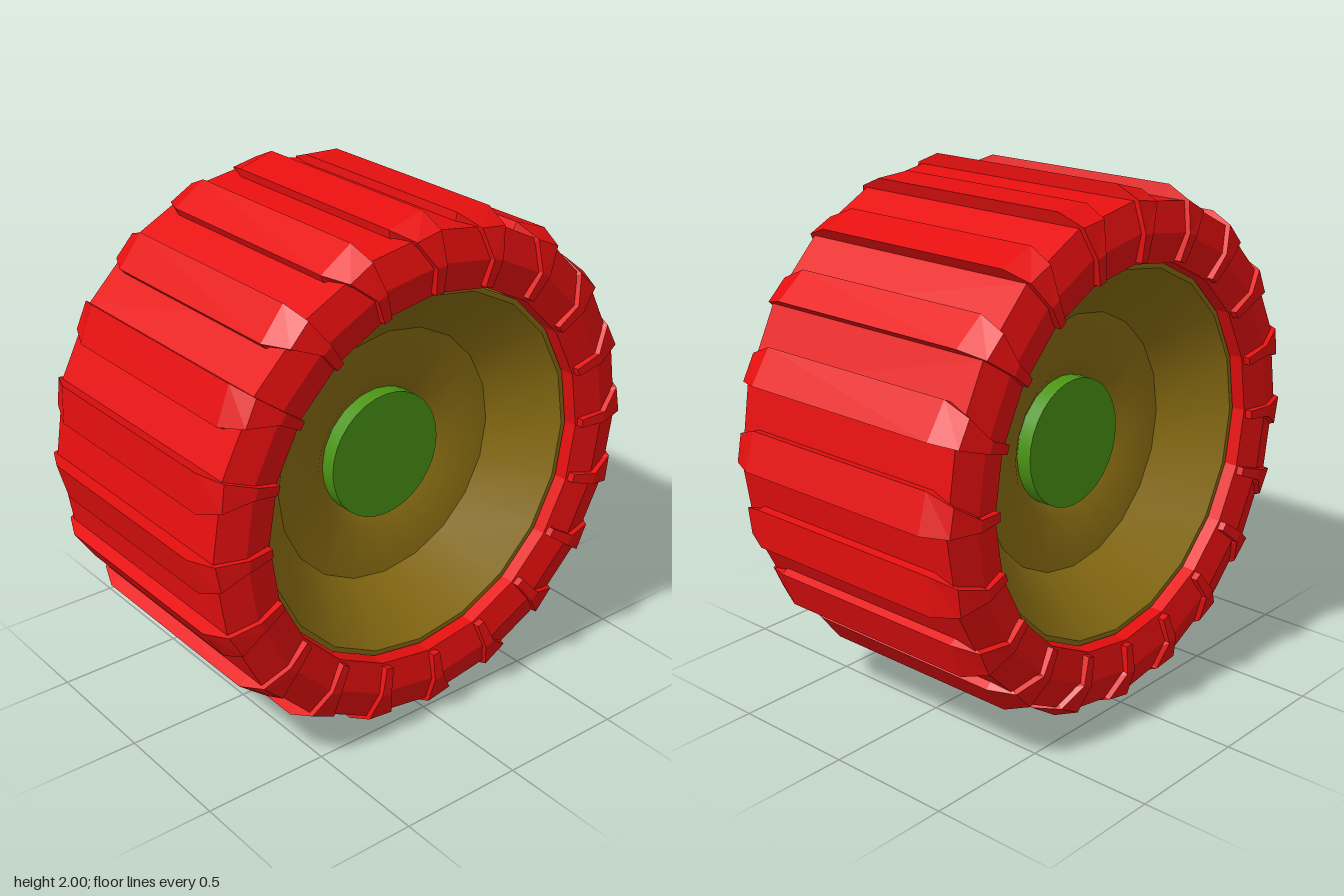
import * as THREE from 'three';
import { toCreasedNormals } from 'three/addons/utils/BufferGeometryUtils.js';

const SIDES = 20;
const STEP = (Math.PI * 2) / SIDES;

// Revolve a profile of [radius, x] points about the x axis
function revolve(profile, segments) {
  const points = profile.map(([r, x]) => new THREE.Vector2(r, x));
  return new THREE.LatheGeometry(points, segments).rotateZ(-Math.PI / 2);
}

// Mirror half a profile (from centre out to the +x side) about x = 0
const mirrored = (half) => [...half.map(([r, x]) => [r, -x]).reverse(), ...half];

// One wedge-shaped lug, wrapped over the crown and down both sidewalls
function lugGeometry() {
  // x, outer radius, drop at the low end, angular width, inner x, inner radius
  const half = [
    [0.43, 1.0, 0.03, 8.6, 0.43, 0.9],
    [0.53, 0.955, 0.015, 6.5, 0.46, 0.88],
    [0.565, 0.84, 0, 3, 0.48, 0.82],
    [0.55, 0.735, 0, 2.6, 0.48, 0.735],
  ];
  const flip = ([x, r, d, a, ix, ir]) => [-x, r, d, a, -ix, ir];
  const stations = [...half.map(flip).reverse(), ...half];
  const at = (x, r, deg) => {
    const t = THREE.MathUtils.degToRad(deg);
    return [x, r * Math.cos(t), r * Math.sin(t)];
  };
  const rings = stations.map(([x, r, d, a, ix, ir]) => [
    at(x, r, 0), at(x, r - d, a), at(ix, ir, a), at(ix, ir, 0),
  ]);
  const verts = [];
  const quad = (a, b, c, d) => verts.push(...a, ...b, ...c, ...a, ...c, ...d);
  for (let i = 0; i < rings.length - 1; i++) {
    const p = rings[i], q = rings[i + 1];
    for (let k = 0; k < 4; k++) {
      const n = (k + 1) % 4;
      quad(p[k], p[n], q[n], q[k]);
    }
  }
  const first = rings[0], last = rings[rings.length - 1];
  quad(first[3], first[2], first[1], first[0]);
  quad(last[0], last[1], last[2], last[3]);
  const geometry = new THREE.BufferGeometry();
  geometry.setAttribute('position', new THREE.Float32BufferAttribute(verts, 3));
  geometry.computeVertexNormals();
  return geometry;
}

export function createModel() {
  const model = new THREE.Group();
  model.name = 'wheel';
  const red = new THREE.MeshStandardMaterial({ color: 0xe60f0f, flatShading: true });
  const olive = new THREE.MeshStandardMaterial({ color: 0x8a6d12 });
  const green = new THREE.MeshStandardMaterial({ color: 0x4a9414 });

  const wheel = new THREE.Group();
  wheel.name = 'wheelAssembly';
  wheel.position.y = 1;
  model.add(wheel);

  const add = (name, geometry, material, parent = wheel) => {
    const mesh = new THREE.Mesh(geometry, material);
    mesh.name = name;
    parent.add(mesh);
    return mesh;
  };

  // Faceted tyre with an open bore
  const tyreProfile = mirrored([[0.95, 0.51], [0.84, 0.545], [0.727, 0.52]]);
  tyreProfile.push(tyreProfile[0]);
  add('tyre', revolve(tyreProfile, SIDES), red);

  // Ring of tread lugs
  const tread = new THREE.Group();
  tread.name = 'tread';
  wheel.add(tread);
  const lug = lugGeometry();
  for (let i = 0; i < SIDES; i++) add('treadLug', lug, red, tread).rotation.x = i * STEP;

  // Rim dished on both sides
  const rimProfile = mirrored([
    [0.72, 0.47], [0.7, 0.47], [0.5, 0.26], [0.3, 0.23], [0.24, 0.185],
  ]);
  add('rim', toCreasedNormals(revolve(rimProfile, SIDES), 0.65), olive);

  // Hub caps standing out of the dishes
  for (const side of [1, -1]) {
    const cap = new THREE.CylinderGeometry(0.25, 0.25, 0.1, 32).rotateZ(-Math.PI / 2);
    add('hubCap', cap, green).position.x = side * 0.205;
  }
  return model;
}
